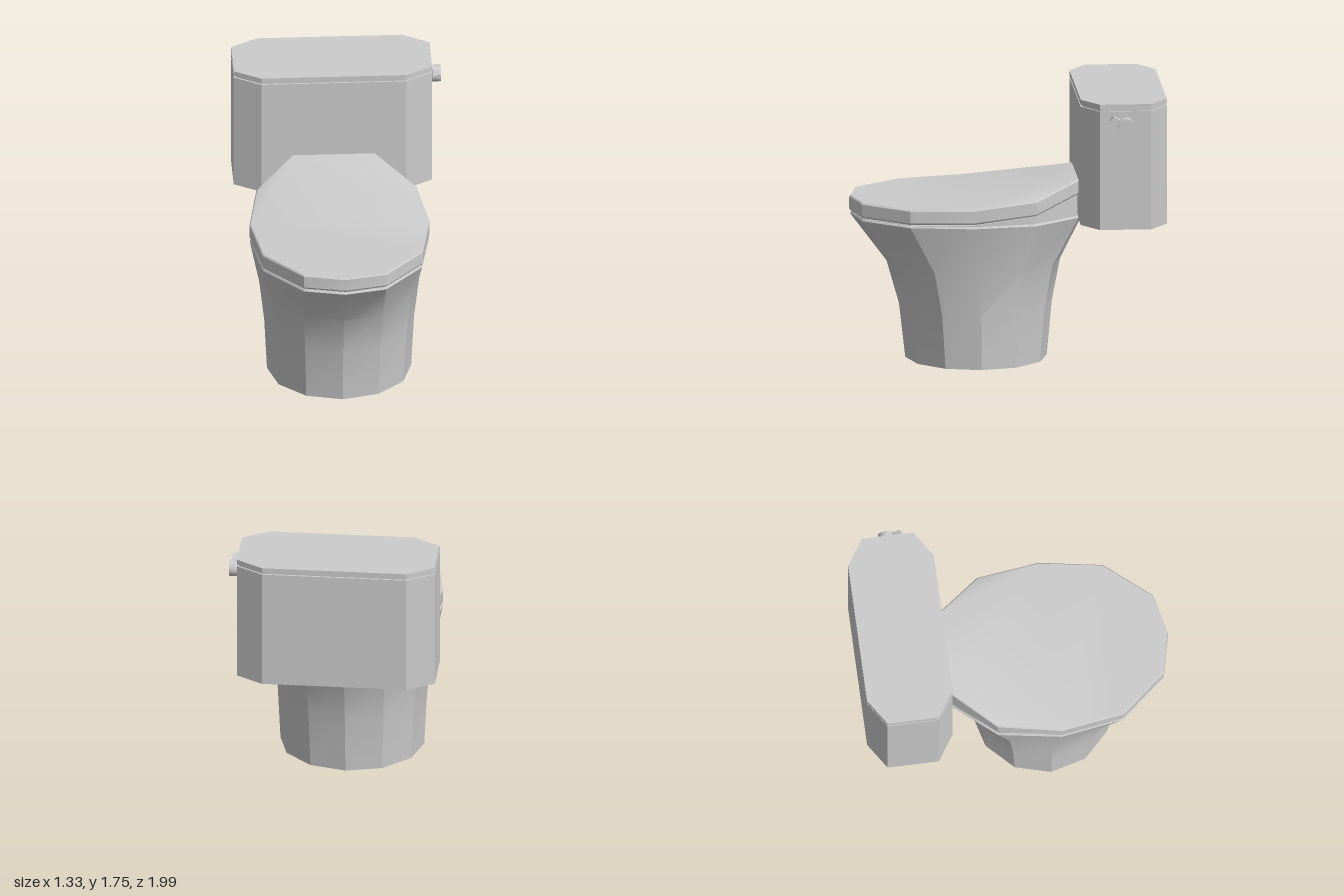
import * as THREE from 'three';
import { toCreasedNormals } from 'three/addons/utils/BufferGeometryUtils.js';

const CX = -0.033; // the handle shifts the body slightly off centre
const material = new THREE.MeshStandardMaterial({ color: 0xcccccc });

// Skin a stack of rings (bottom to top, each running front -> +x -> back -> -x).
function loft(name, rings, cap) {
  const n = rings[0].length;
  const faces = cap ?? Array.from({ length: n - 2 }, (_, i) => [0, i + 1, i + 2]);
  const index = [];
  for (let r = 0; r < rings.length - 1; r++) {
    for (let i = 0; i < n; i++) {
      const a = r * n + i, b = r * n + (i + 1) % n;
      index.push(a, b, b + n, a, b + n, a + n);
    }
  }
  const top = (rings.length - 1) * n;
  for (const [a, b, c] of faces) index.push(a, c, b, top + a, top + b, top + c);
  const geometry = new THREE.BufferGeometry();
  geometry.setAttribute('position', new THREE.Float32BufferAttribute(rings.flat(2), 3));
  geometry.setIndex(index);
  const mesh = new THREE.Mesh(toCreasedNormals(geometry, 0.5), material);
  mesh.name = name;
  return mesh;
}

// Twelve-sided oval; full = 0 is an ellipse, full = 1 the fuller rim outline.
const RIM = [[0, 1], [0.46, 0.92], [0.887, 0.536], [1, 0]];
function oval(y, rx, rz, cz, full) {
  return Array.from({ length: 12 }, (_, i) => {
    const angle = i * Math.PI / 6;
    const s = Math.sin(angle), c = Math.cos(angle);
    const [u, v] = RIM[i <= 3 ? i : i <= 6 ? 6 - i : i <= 9 ? i - 6 : 12 - i];
    const x = THREE.MathUtils.lerp(Math.abs(s), u, full) * Math.sign(s);
    const z = THREE.MathUtils.lerp(Math.abs(c), v, full) * Math.sign(c);
    return [CX + rx * x, typeof y === 'number' ? y : y[Math.min(i, 12 - i)], cz + rz * z];
  });
}

// Rectangle with chamfered corners, for the tank.
function tankRing(y, inset = 0) {
  const w = 0.633 - inset, d = 0.275 - inset, cw = 0.463 - inset / 2, cd = 0.165 - inset / 2;
  return [[cw, d], [w, cd], [w, -cd], [cw, -d], [-cw, -d], [-w, -cd], [-w, cd], [-cw, d]]
    .map(([x, z]) => [CX + x, y, z - 0.725]);
}

export function createModel() {
  const group = new THREE.Group();

  // Pedestal flaring into the bowl rim
  group.add(loft('bowl', [
    oval(0, 0.46, 0.452, 0.183, 0),
    oval(0.35, 0.478, 0.488, 0.187, 0),
    oval(0.63, 0.51, 0.555, 0.2, 0.2),
    oval(0.94, 0.572, 0.75, 0.238, 1),
    oval(0.952, 0.565, 0.743, 0.238, 1),
  ]));

  // Seat and lid sweep up towards the tank; heights run front to back
  const sweep = [0.96, 0.96, 0.96, 0.967, 1.005, 1.095, 1.11];
  const raise = (h) => sweep.map((y) => y + h);
  const cap = [[0, 1, 11], [1, 2, 10], [1, 10, 11], [2, 3, 9], [2, 9, 10],
    [3, 5, 7], [3, 7, 9], [3, 4, 5], [7, 8, 9], [5, 6, 7]];
  group.add(loft('seat', [
    oval(0.95, 0.56, 0.738, 0.238, 1),
    oval(raise(-0.006), 0.56, 0.738, 0.238, 1),
  ], cap));
  group.add(loft('lid', [
    oval(raise(0), 0.568, 0.748, 0.238, 1),
    oval(raise(0.012), 0.575, 0.755, 0.238, 1),
    oval(raise(0.088), 0.575, 0.755, 0.238, 1),
    oval(raise(0.097), 0.568, 0.748, 0.238, 1),
  ], cap));

  // Tank, shadow groove and cover
  group.add(loft('tank', [tankRing(0.935), tankRing(1.705)]));
  group.add(loft('tankGroove', [tankRing(1.7, 0.012), tankRing(1.722, 0.012)]));
  group.add(loft('tankCover', [tankRing(1.718), tankRing(1.75)]));

  // Flush handle on the model's left side
  const handle = new THREE.Group();
  handle.name = 'flushHandle';
  handle.position.set(0.63, 1.614, -0.725);
  handle.rotation.x = -0.52;
  const knobGeometry = new THREE.CylinderGeometry(0.053, 0.053, 0.064, 16).rotateZ(Math.PI / 2);
  const knob = new THREE.Mesh(toCreasedNormals(knobGeometry, 0.5), material);
  knob.name = 'handleKnob';
  const lever = new THREE.Mesh(new THREE.BoxGeometry(0.044, 0.036, 0.105), material);
  lever.name = 'handleLever';
  lever.position.z = 0.053;
  handle.add(knob, lever);
  group.add(handle);

  return group;
}
